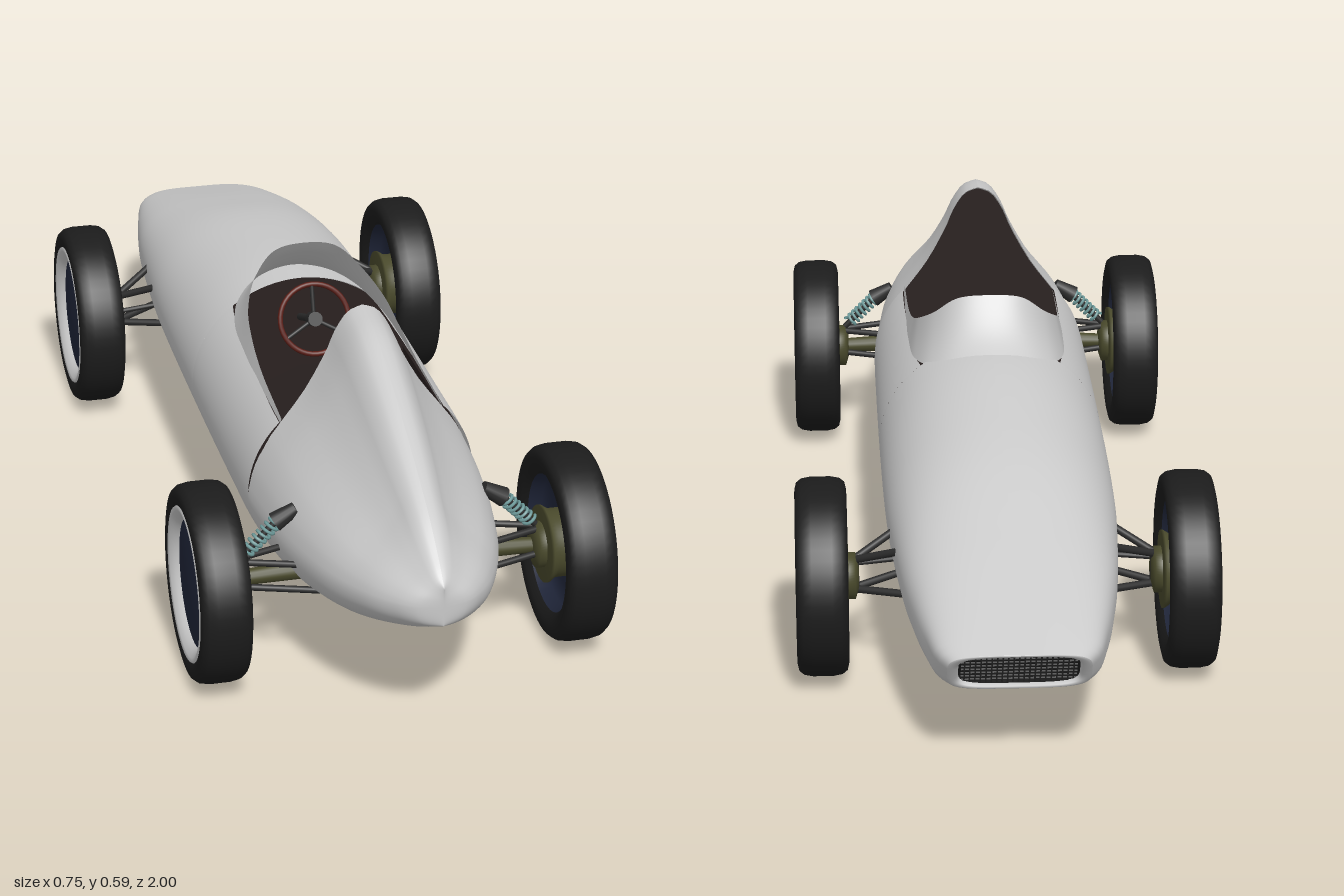
import * as THREE from 'three';

const mat = (color) => new THREE.MeshStandardMaterial({ color, side: THREE.DoubleSide });
const GREY = mat(0xcccccc), RUBBER = mat(0x1c1c1c), NAVY = mat(0x20263a), OLIVE = mat(0x4a4a2c),
  DARK = mat(0x2b2b2b), BROWN = mat(0x2a2120), RED = mat(0x5a1c14), TEAL = mat(0x6f9c9c), WHITE = mat(0xdddddd);
const V = (x, y, z) => new THREE.Vector3(x, y, z);

function add(parent, name, geometry, material) {
  const m = new THREE.Mesh(geometry, material);
  m.name = name;
  parent.add(m);
  return m;
}

// Smooth function through [z, value] points
function curve(p) {
  const slope = (i) => {
    const a = p[Math.max(i - 1, 0)], b = p[Math.min(i + 1, p.length - 1)];
    return (b[1] - a[1]) / (b[0] - a[0]);
  };
  return (z) => {
    let i = 0;
    while (i < p.length - 2 && z > p[i + 1][0]) i++;
    const d = p[i + 1][0] - p[i][0], t = THREE.MathUtils.clamp((z - p[i][0]) / d, 0, 1);
    const t2 = t * t, t3 = t2 * t;
    return (2 * t3 - 3 * t2 + 1) * p[i][1] + (t3 - 2 * t2 + t) * d * slope(i)
      + (3 * t2 - 2 * t3) * p[i + 1][1] + (t3 - t2) * d * slope(i + 1);
  };
}

// Body lines: half width, underside, widest height, deck, headrest top, squareness
const width = curve([[-1, .122], [-.97, .14], [-.9, .155], [-.8, .172], [-.7, .187], [-.55, .2], [-.4, .208],
  [-.1, .212], [.3, .212], [.435, .21], [.6, .196], [.7, .179], [.8, .153], [.9, .113], [.95, .082], [.985, .046], [1, 0]]);
const bottom = curve([[-1, .15], [-.85, .14], [-.7, .122], [-.55, .106], [-.4, .1], [.45, .1], [.6, .112], [.8, .16], [.94, .215], [1, .245]]);
const middle = curve([[-1, .195], [-.7, .225], [-.4, .24], [.435, .235], [.8, .255], [1, .28]]);
const deck = curve([[-1, .24], [-.86, .285], [-.72, .328], [-.5, .388], [-.29, .42], [-.1, .435], [.5, .435]]);
const hump = curve([[.435, .588], [.52, .577], [.6, .548], [.73, .49], [.89, .405], [.97, .345], [1, .315]]);
const square = curve([[-1, 4], [-.85, 3], [-.6, 2.3], [-.3, 2], [.435, 2], [1, 2]]);
const headrest = new THREE.SplineCurve([[1, 0], [.95, .14], [.84, .28], [.71, .39], [.5, .56], [.32, .756], [.24, .87],
  [.13, .968], [0, 1]].map(([x, y]) => new THREE.Vector2(x, y)));

// Half-section point, s from 0 (keel) to 1 (top)
function bodyPoint(z, s, tail) {
  const w = width(z), yb = bottom(z), ym = middle(z), yt = tail ? hump(z) : deck(z);
  const n = square(z), nl = Math.max(n, 2.4), a = Math.abs(s - .5) * Math.PI;
  const e = s < .5 ? 2 / nl : 2 / n;
  let x = Math.pow(Math.max(Math.cos(a), 0), e), y = Math.pow(Math.sin(a), e);
  if (tail && s > .5) {
    const q = headrest.getPoint(a / (Math.PI / 2)), h = z < .85 ? 1 : 1 - (z - .85) * 2;
    x += (q.x - x) * h;
    y += (q.y - y) * h;
  }
  y = s < .5 ? ym - (ym - yb) * y : ym + (yt - ym) * y;
  const rake = .06 * THREE.MathUtils.smoothstep(-z, .8, 1) * (yt - y) / (yt - yb);
  return V(w * x, y, z + rake);
}

// Full mirrored section: left top, keel, right top
function section(z, s0, s1, tail, steps = 40) {
  const half = Array.from({ length: steps + 1 }, (_, i) => bodyPoint(z, s0 + (s1 - s0) * i / steps, tail));
  return [...half.slice().reverse(), ...half.slice(1).map((p) => V(-p.x, p.y, p.z))];
}

function loft(rows) {
  const n = rows[0].length, index = [];
  for (let i = 0; i < rows.length - 1; i++) for (let j = 0; j < n - 1; j++) {
    const a = i * n + j, b = a + n;
    index.push(a, a + 1, b, b, a + 1, b + 1);
  }
  const g = new THREE.BufferGeometry().setFromPoints(rows.flat());
  g.setIndex(index);
  g.computeVertexNormals();
  return g;
}
const range = (a, b, n) => Array.from({ length: n + 1 }, (_, i) => a + (b - a) * i / n);
const shrink = (row, c, k, dz) => row.map((p) => V(p.x * k, c.y + (p.y - c.y) * k, c.z + (p.z - c.z) * k + dz));

function rod(parent, name, a, b, r0, material, r1 = r0) {
  const d = b.clone().sub(a);
  const m = add(parent, name, new THREE.CylinderGeometry(r1, r0, d.length(), 14), material);
  m.position.copy(a).addScaledVector(d, .5);
  m.quaternion.setFromUnitVectors(V(0, 1, 0), d.normalize());
}

function buildBody(car) {
  add(car, 'noseBody', loft(range(-1, -.04, 48).map((z) => section(z, 0, 1))), GREY);
  const tailZ = range(0, Math.PI / 2, 44).map((a) => .435 + .565 * Math.sin(a));
  add(car, 'tailBody', loft(tailZ.map((z) => section(z, 0, 1, true))), GREY);

  // Cockpit tub, open above the sills, with dark side trim
  const sill = curve([[-.04, .392], [.02, .386], [.14, .38], [.26, .376], [.435, .373]]);
  const sillS = (z) => .5 + Math.asin((sill(z) - middle(z)) / (deck(z) - middle(z))) / Math.PI;
  const tubZ = range(-.04, .437, 20);
  add(car, 'cockpitTub', loft(tubZ.map((z) => section(z, 0, sillS(z)))), GREY);
  for (const side of [1, -1]) {
    add(car, 'cockpitTrim', loft(tubZ.map((z) => range(.3, sillS(z), 12).map((s) => {
      const p = bodyPoint(z, s);
      return V(side * (p.x - .006), p.y, z);
    }))), BROWN);
  }

  // Flared scuttle and cockpit rim
  const mirrored = (pts) => new THREE.CatmullRomCurve3(
    [...pts.slice(1).reverse().map(([x, y, z]) => V(-x, y, z)), ...pts.map((p) => V(...p))]).getPoints(96);
  const base = mirrored([[0, .433, -.11], [.07, .419, -.1], [.115, .4, -.06], [.142, .384, .02], [.15, .378, .14], [.151, .374, .26], [.15, .371, .437]]);
  const rim = mirrored([[0, .52, -.012], [.06, .512, -.004], [.103, .475, .025], [.131, .44, .09], [.14, .415, .16], [.145, .394, .26], [.148, .38, .437]]);
  add(car, 'scuttleRim', loft(range(0, 1, 8).map((t) => base.map((p, i) => {
    const q = p.clone().lerp(rim[i], t);
    q.y -= .012 * Math.sin(Math.PI * t) * Math.max(0, (rim[i].y - .42) * 10);
    return q;
  }))), GREY);

  // Bulkheads closing the tail and the nose
  const closing = (name, row, c, k) => add(car, name, loft([shrink(row, c, k, 0), shrink(row, c, 0, 0)]), BROWN);
  closing('rearBulkhead', section(.45, 0, 1, true), V(0, .25, .45), .985);
  closing('dashBulkhead', section(-.045, 0, 1), V(0, .25, -.045), .985);

  // Nose intake with mesh
  const mouth = section(-1, 0, 1), c = V(0, .195, -.97);
  add(car, 'intakeLip', loft([[1, 0], [.95, -.003], [.87, 0], [.84, .012]].map(([k, dz]) => shrink(mouth, c, k, dz))), GREY);
  add(car, 'intakeBack', loft([[.84, .012], [.83, .03], [0, .03]].map(([k, dz]) => shrink(mouth, c, k, dz))), RUBBER);
  const mesh = new THREE.Group();
  mesh.name = 'intakeMesh';
  mesh.position.set(0, .195, -.957);
  mesh.rotation.x = -.588;
  for (const x of range(-.092, .092, 20)) add(mesh, 'meshBar', new THREE.BoxGeometry(.0025, .082, .003), DARK).position.x = x;
  for (const y of range(-.032, .032, 6)) add(mesh, 'meshBar', new THREE.BoxGeometry(.196, .0025, .003), DARK).position.y = y;
  car.add(mesh);
}

function buildSteering(car) {
  const g = new THREE.Group();
  g.name = 'steeringWheel';
  g.position.set(0, .4, .075);
  g.rotation.x = -.38;
  add(g, 'steeringRim', new THREE.TorusGeometry(.066, .005, 10, 40), RED);
  for (let i = 0; i < 3; i++) {
    const a = Math.PI / 2 + i * Math.PI * 2 / 3;
    rod(g, 'spoke', V(0, 0, -.005), V(.064 * Math.cos(a), .064 * Math.sin(a), 0), .004, DARK);
  }
  rod(g, 'steeringHub', V(0, 0, -.02), V(0, 0, .008), .014, DARK);
  rod(g, 'steeringColumn', V(0, 0, -.125), V(0, 0, 0), .007, DARK);
  car.add(g);
}

// Wheel about the x axis, outer face towards +x
function buildWheel(parent, z) {
  const g = new THREE.Group();
  g.name = 'wheel';
  g.position.set(.327, .18, z);
  const lathe = (name, pts, material) => {
    const m = add(g, name, new THREE.LatheGeometry(pts.map(([r, y]) => new THREE.Vector2(r, y)), 56), material);
    m.rotation.z = -Math.PI / 2;
  };
  lathe('tyre', [[.125, -.034], [.138, -.043], [.155, -.046], [.168, -.043], [.175, -.034], [.178, -.018], [.178, .018],
    [.175, .034], [.168, .043], [.155, .046], [.14, .043], [.125, .034]], RUBBER);
  lathe('rimRing', [[.14, .041], [.137, .045], [.13, .043], [.12, .036], [.114, .028]], WHITE);
  lathe('wheelDisc', [[.116, .028], [.09, .032], [.04, .036], [0, .037]], NAVY);
  lathe('wheelInner', [[.138, -.042], [.128, -.036], [.12, -.01], [.09, 0], [0, 0]], NAVY);
  lathe('brakeDrum', [[0, -.047], [.07, -.047], [.07, -.042], [.062, -.03], [.062, 0]], OLIVE);
  lathe('hubCarrier', [[0, -.066], [.022, -.066], [.042, -.06], [.042, -.047]], OLIVE);
  parent.add(g);
}

function buildRearSuspension(p) {
  const z = .64;
  rod(p, 'halfShaft', V(.14, .185, z), V(.272, .18, z), .018, OLIVE, .014);
  for (const dz of [-.055, .055]) rod(p, 'lowerArm', V(.12, .165, z + dz), V(.275, .172, z + dz * .3), .006, DARK);
  for (const dz of [-.04, .04]) rod(p, 'upperArm', V(.17, .215, z + dz), V(.268, .215, z + dz * .2), .006, DARK);
  const a = V(.268, .222, z), b = V(.19, .3, z), d = b.clone().sub(a);
  rod(p, 'damper', a, b, .006, DARK);
  rod(p, 'damperMount', V(.208, .283, z), V(.17, .306, z), .018, DARK, .012);
  const coil = range(0, 1, 120).map((t) => {
    const k = t * Math.PI * 16, r = .012;
    return a.clone().addScaledVector(d, .12 + .75 * t)
      .add(V(.707 * r * Math.cos(k), .707 * r * Math.cos(k), r * Math.sin(k)));
  });
  add(p, 'coilSpring', new THREE.TubeGeometry(new THREE.CatmullRomCurve3(coil), 200, .003, 6), TEAL);
}

function buildFrontSuspension(p) {
  const z = -.53;
  for (const dz of [-.055, .055]) {
    rod(p, 'upperArm', V(.185, .25, z + dz), V(.272, .21, z), .007, DARK);
    rod(p, 'lowerArm', V(.17, .165, z + dz), V(.275, .155, z), .007, DARK);
  }
  rod(p, 'upright', V(.272, .15, z), V(.272, .215, z), .012, DARK);
  rod(p, 'trackRod', V(.17, .2, z + .03), V(.275, .19, z + .03), .005, DARK);
}

export function createModel() {
  const car = new THREE.Group();
  car.name = 'racingCar';
  buildBody(car);
  buildSteering(car);
  for (const side of [1, -1]) {
    const running = new THREE.Group();
    running.name = side > 0 ? 'leftRunningGear' : 'rightRunningGear';
    running.scale.x = side;
    for (const z of [-.53, .64]) buildWheel(running, z);
    buildRearSuspension(running);
    buildFrontSuspension(running);
    car.add(running);
  }
  return car;
}
